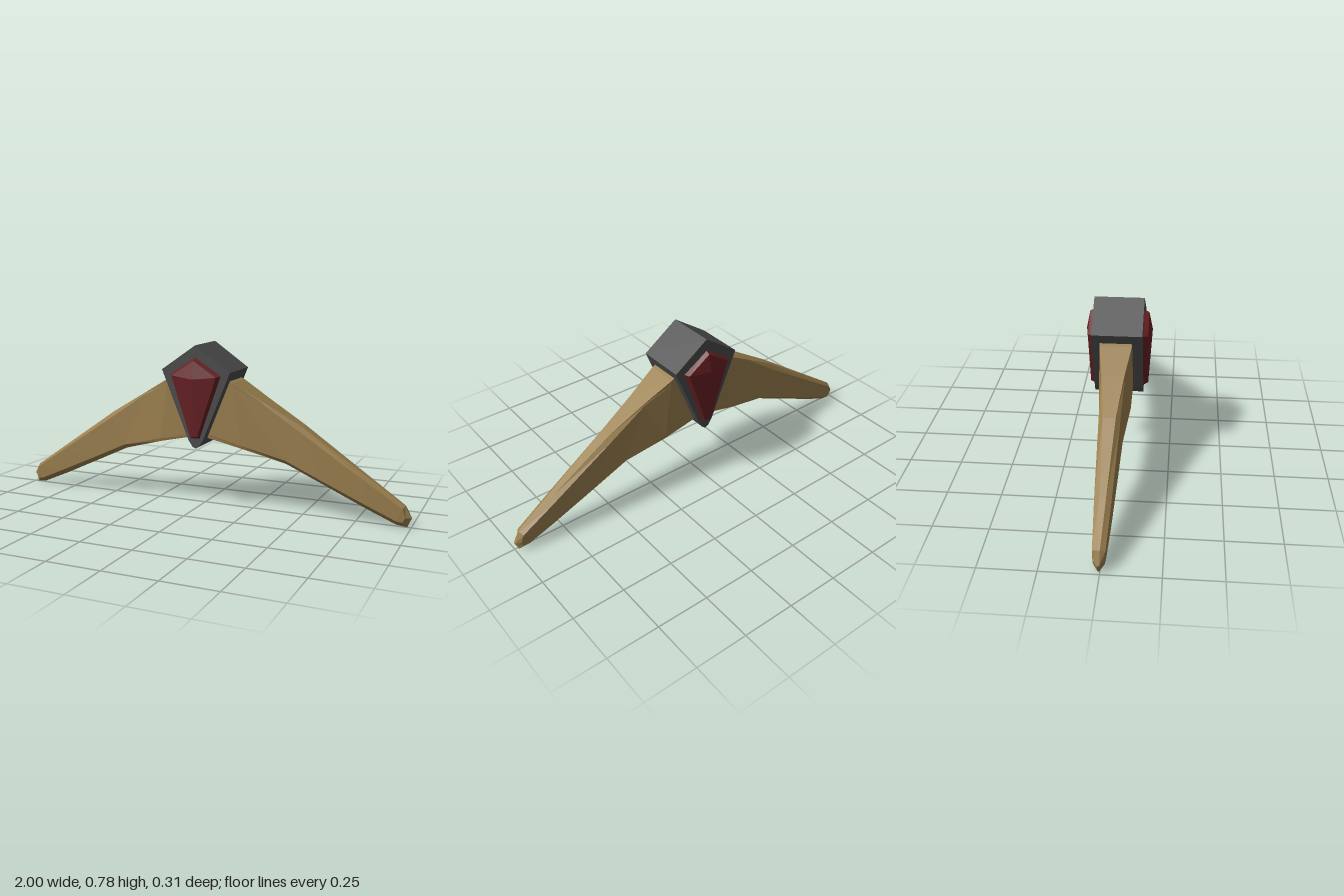
import * as THREE from 'three';

// Skin closed loops of [x, y, z] points, flat shaded, with the last loop capped
function loft(loops) {
  const pos = [];
  const tri = (a, b, c) => pos.push(...a, ...b, ...c);
  const n = loops[0].length;
  for (let i = 0; i < loops.length - 1; i++) {
    for (let j = 0; j < n; j++) {
      const k = (j + 1) % n, p = loops[i], q = loops[i + 1];
      tri(p[j], p[k], q[k]);
      tri(p[j], q[k], q[j]);
    }
  }
  const end = loops[loops.length - 1];
  for (let j = 1; j < n - 1; j++) tri(end[0], end[j], end[j + 1]);
  const g = new THREE.BufferGeometry();
  g.setAttribute('position', new THREE.Float32BufferAttribute(pos, 3));
  g.computeVertexNormals();
  return g;
}

// Wing sections, root to tip: four [x, y, half thickness] points from top to bottom
const wingSections = [
  [[0.10, 0.645, 0.074], [0.10, 0.62, 0.074], [0.0, 0.37, 0.074], [0.0, 0.35, 0.072]],
  [[0.17, 0.612, 0.074], [0.17, 0.59, 0.074], [0.21, 0.318, 0.074], [0.21, 0.304, 0.07]],
  [[0.31, 0.53, 0.05], [0.31, 0.52, 0.053], [0.42, 0.264, 0.053], [0.42, 0.243, 0.03]],
  [[0.49, 0.425, 0.028], [0.49, 0.40, 0.047], [0.60, 0.181, 0.045], [0.60, 0.159, 0.02]],
  [[0.79, 0.222, 0.014], [0.79, 0.203, 0.036], [0.80, 0.091, 0.036], [0.80, 0.066, 0.01]],
  [[0.97, 0.10, 0.006], [0.962, 0.09, 0.027], [0.935, 0.031, 0.027], [0.935, 0.008, 0.004]],
  [[1.0, 0.045, 0.005], [0.975, 0.05, 0.024], [0.962, 0.026, 0.024], [0.982, 0.003, 0.003]],
];

export function createModel() {
  const model = new THREE.Group();
  const gold = new THREE.MeshStandardMaterial({ color: 0x9a7f4e });
  const grey = new THREE.MeshStandardMaterial({ color: 0x4b4b4b });
  const red = new THREE.MeshStandardMaterial({ color: 0x682023 });
  gold.name = 'dull gold';
  grey.name = 'dark grey';
  red.name = 'dark red';

  const add = (name, geometry, material, z = 0, turn = 0) => {
    const m = new THREE.Mesh(geometry, material);
    m.name = name;
    m.position.z = z;
    m.rotation.y = turn;
    model.add(m);
  };

  // Kite-shaped hub with a blunt lower end
  const kite = new THREE.Shape([
    [0, 0.785], [-0.173, 0.665], [-0.037, 0.335], [-0.017, 0.305], [0, 0.295],
    [0.017, 0.305], [0.037, 0.335], [0.173, 0.665],
  ].map(([x, y]) => new THREE.Vector2(x, y)));
  add('hub', new THREE.ExtrudeGeometry(kite, { depth: 0.233, bevelEnabled: false }), grey, -0.118);

  // Wings, symmetric front to back so a half turn gives the other side
  const wing = loft(wingSections.map((s) => [
    ...s.map(([x, y, h]) => [x, y, h]),
    ...s.slice().reverse().map(([x, y, h]) => [x, y, -h]),
  ]));
  add('leftWing', wing, gold, -0.006);
  add('rightWing', wing, gold, -0.006, Math.PI);

  // Faceted gems on the front and back of the hub
  const gemLoop = (top, w, mid, foot, bottom, z) => [
    [0, top, z], [-w, mid, z], [-foot, bottom, z], [foot, bottom, z], [w, mid, z],
  ];
  const gem = loft([
    gemLoop(0.73, 0.131, 0.648, 0.022, 0.343, 0.11),
    gemLoop(0.715, 0.112, 0.642, 0.018, 0.356, 0.138),
    gemLoop(0.632, 0.002, 0.63, 0.001, 0.628, 0.155),
  ]);
  add('frontGem', gem, red);
  add('backGem', gem, red, 0, Math.PI);

  return model;
}
